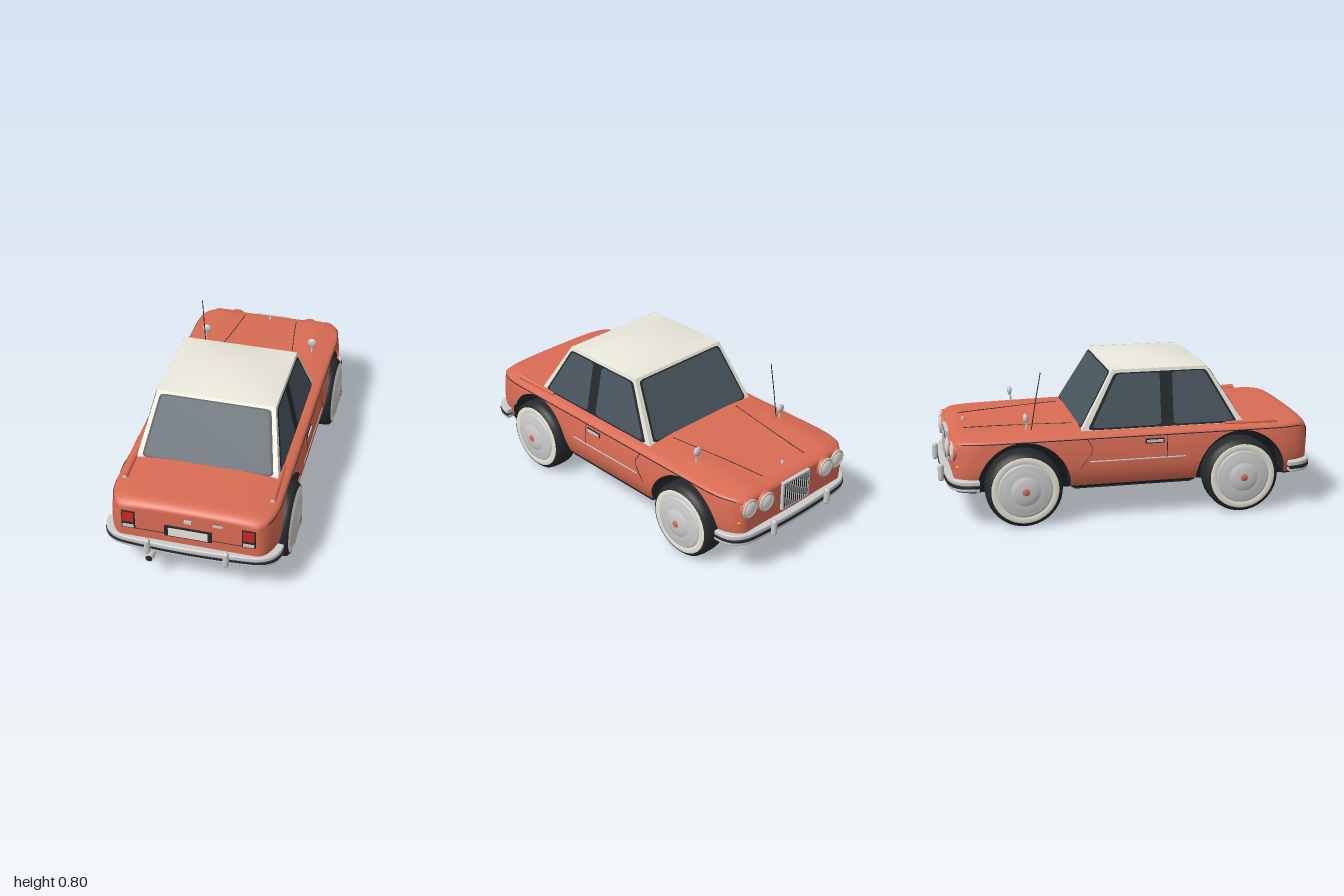
import * as THREE from 'three';

const mat = (color) => new THREE.MeshStandardMaterial({ color, side: THREE.DoubleSide });
const RED = mat(0xd96c54), CREAM = mat(0xe9e6da), GLASS = mat(0x4a565f), DARK = mat(0x25292c);
const BLACK = mat(0x151819), CHROME = mat(0xcccccc), LAMP = mat(0xc42a20), AMBER = mat(0xe08a20);

const END = 0.935, ARCH_R = 0.24, AXLE_Y = 0.197, AXLES = [0.555, -0.587];
const ramp = (v, a, b) => THREE.MathUtils.smoothstep(v, a, b);

// Body rules: half width, sill height, section point
const halfWidth = (z) => 0.34 + 0.095 * Math.sqrt(Math.max(0, 1 - Math.max(0, (Math.abs(z) - 0.7) / (END - 0.7)) ** 2.5));
const archAt = (z) => AXLES.find((c) => Math.abs(z - c) < ARCH_R);
function sill(z) {
  const c = archAt(z);
  return c === undefined ? 0.19 : AXLE_Y + Math.sqrt(ARCH_R ** 2 - (z - c) ** 2);
}
const sideX = (y, z) => halfWidth(z) * (y < 0.3 ? 1 - 0.07 * ((0.3 - y) / 0.11) ** 2 : 1 - 0.03 * ((y - 0.3) / 0.137) ** 2);
const endScale = (z) => {
  const e = Math.min(1, Math.max(0, (Math.abs(z) - 0.86) / (END - 0.86)));
  return 1 - 0.13 * (1 - Math.sqrt(1 - e * e));
};
const topY = (z) => 0.479 - Math.max(0, -z - 0.3) * 0.035;
function sectionPoint(a, z) {
  let x, y;
  const shoulder = 0.437;
  if (a < 0.5) {
    y = THREE.MathUtils.lerp(Math.min(sill(z), 0.436), shoulder, a * 2);
    x = sideX(y, z);
  } else {
    const t = (a - 0.5) * Math.PI;
    x = sideX(shoulder, z) * Math.max(0, Math.cos(t)) ** 0.667;
    y = shoulder + (topY(z) - shoulder) * Math.sin(t) ** 0.667;
    y += 0.014 * Math.exp(-(((x - 0.29) / 0.07) ** 2)) * ramp(-z, 0.35, 0.6) * Math.sin(t);
  }
  return [x, 0.19 + (y - 0.19) * endScale(z), z];
}

function bodyGeometry() {
  const zs = [];
  for (let i = 0; i <= 60; i++) zs.push(END * Math.sin(((i / 30 - 1) * Math.PI) / 2));
  for (const c of AXLES) for (let k = 0; k <= 28; k++) zs.push(c + ARCH_R * Math.cos((k / 28) * Math.PI));
  zs.sort((a, b) => a - b);
  const N = 44, pos = [], idx = [];
  for (const z of zs) for (let j = 0; j <= N; j++) {
    const s = j / N * 2 - 1;
    const p = sectionPoint(1 - Math.abs(s), z);
    pos.push(s < 0 ? p[0] : -p[0], p[1], p[2]);
  }
  const row = N + 1;
  for (let i = 0; i < zs.length - 1; i++) for (let j = 0; j < N; j++) {
    const a = i * row + j, b = a + row;
    idx.push(a, a + 1, b, b, a + 1, b + 1);
  }
  // Flat nose and tail faces
  for (const [i, flip] of [[0, true], [zs.length - 1, false]]) {
    const base = pos.length / 3;
    pos.push(0, 0.3, zs[i]);
    for (let j = 0; j <= N; j++) pos.push(...pos.slice((i * row + j) * 3, (i * row + j) * 3 + 3));
    for (let j = 0; j <= N; j++) {
      const a = base + 1 + j, b = base + 1 + ((j + 1) % row);
      idx.push(base, flip ? b : a, flip ? a : b);
    }
  }
  const g = new THREE.BufferGeometry();
  g.setAttribute('position', new THREE.Float32BufferAttribute(pos, 3));
  g.setIndex(idx);
  g.computeVertexNormals();
  return g;
}

// Polygon with rounded corners
function roundedPoly(pts, r) {
  const P = pts.map((p) => new THREE.Vector2(...p)), s = new THREE.Shape(), n = P.length;
  P.forEach((p, i) => {
    const toward = (q) => p.clone().add(q.clone().sub(p).setLength(r));
    const a = toward(P[(i + n - 1) % n]), b = toward(P[(i + 1) % n]);
    i ? s.lineTo(a.x, a.y) : s.moveTo(a.x, a.y);
    s.quadraticCurveTo(p.x, p.y, b.x, b.y);
  });
  s.closePath();
  return s;
}

export function createModel() {
  const car = new THREE.Group();
  const add = (name, geo, m, x = 0, y = 0, z = 0, parent = car) => {
    const mesh = new THREE.Mesh(geo, m);
    mesh.name = name;
    mesh.position.set(x, y, z);
    parent.add(mesh);
    return mesh;
  };
  const box = (name, m, w, h, d, x, y, z) => add(name, new THREE.BoxGeometry(w, h, d), m, x, y, z);
  const rod = (r1, r2, len, n = 24) => new THREE.CylinderGeometry(r1, r2, len, n).rotateX(Math.PI / 2);
  const line = (name, pts, r, m) => add(name, new THREE.TubeGeometry(
    new THREE.CatmullRomCurve3(pts.map((p) => new THREE.Vector3(...p))), pts.length * 4, r, 5), m);

  add('body', bodyGeometry(), RED);

  // Floor pan, notched at the wheels
  const floorPts = [];
  for (let i = 0; i <= 120; i++) {
    const z = (i / 60 - 1) * 0.92;
    floorPts.push([archAt(z) === undefined ? halfWidth(z) * 0.925 : 0.31, z]);
  }
  const floor = new THREE.Shape([...floorPts, ...floorPts.map(([x, z]) => [-x, z]).reverse()].map((p) => new THREE.Vector2(...p)));
  add('floor', new THREE.ExtrudeGeometry(floor, { depth: 0.02, bevelEnabled: false }).rotateX(Math.PI / 2), BLACK, 0, 0.2, 0);
  box('chassis', BLACK, 0.62, 0.25, 1.66, 0, 0.285, 0);
  box('underTray', BLACK, 0.62, 0.03, 1.66, 0, 0.172, 0);
  box('sillStrip', DARK, 0.79, 0.025, 0.62, 0, 0.183, -0.016);

  // Cabin: four sloped walls, crowned roof and set-on windows
  const bottom = { x: 0.372, y: 0.455, f: -0.288, r: 0.588 }, top = { x: 0.307, y: 0.765, f: -0.107, r: 0.392 };
  const corner = (l, sx, end) => new THREE.Vector3(sx * l.x, l.y, l[end]);
  function wall(name, [s1, e1], [s2, e2], panels) {
    const [bl, br, tl, tr] = [corner(bottom, s1, e1), corner(bottom, s2, e2), corner(top, s1, e1), corner(top, s2, e2)];
    const out = br.clone().sub(bl).cross(tl.clone().sub(bl)).normalize();
    if (out.dot(bl.clone().add(br).setY(0).sub(new THREE.Vector3(0, 0, 0.3))) < 0) out.negate();
    const put = (label, pts, r, m, lift) => {
      const g = new THREE.ShapeGeometry(roundedPoly(pts, r), 6), p = g.attributes.position;
      for (let i = 0; i < p.count; i++) {
        const u = p.getX(i), v = p.getY(i);
        const q = bl.clone().lerp(br, u).lerp(tl.clone().lerp(tr, u), v).addScaledVector(out, lift);
        p.setXYZ(i, q.x, q.y, q.z);
      }
      g.computeVertexNormals();
      add(label, g, m);
    };
    put(name, [[0, 0], [1, 0], [1, 1], [0, 1]], 0.001, CREAM, 0);
    panels.forEach(([label, pts, m], i) => put(label, pts, 0.05, m, 0.003 + 0.003 * Math.min(i, 1)));
  }
  const endPanels = (n) => [
    [n + 'Seal', [[0.035, 0.05], [0.965, 0.05], [0.965, 0.955], [0.035, 0.955]], DARK],
    [n, [[0.05, 0.07], [0.95, 0.07], [0.945, 0.935], [0.055, 0.935]], GLASS]];
  wall('rearWall', [-1, 'r'], [1, 'r'], endPanels('rearWindow'));
  wall('frontWall', [1, 'f'], [-1, 'f'], endPanels('windscreen'));
  for (const s of [-1, 1]) wall('cabinSide', [s, 'r'], [s, 'f'], [
    ['sideWindowFrame', [[0.04, 0.04], [0.965, 0.04], [0.965, 0.945], [0.035, 0.945]], DARK],
    ['quarterWindow', [[0.055, 0.07], [0.44, 0.07], [0.385, 0.925], [0.06, 0.925]], GLASS],
    ['doorWindow', [[0.515, 0.07], [0.945, 0.07], [0.935, 0.925], [0.51, 0.925]], GLASS]]);
  const roof = new THREE.PlaneGeometry(2, 2, 20, 20).rotateX(-Math.PI / 2), rp = roof.attributes.position;
  for (let i = 0; i < rp.count; i++) {
    const u = rp.getX(i), v = rp.getZ(i);
    rp.setXYZ(i, u * 0.309, 0.764 + 0.031 * (1 - u * u) * (1 - v * v), 0.1425 + v * 0.252);
  }
  roof.computeVertexNormals();
  add('roof', roof, CREAM);

  // Wheels: lathed tyre, whitewall and domed hubcap
  const lathe = (pts) => new THREE.LatheGeometry(pts.map((p) => new THREE.Vector2(...p)), 40);
  const parts = [
    ['tyre', lathe([[0, -0.07], [0.14, -0.07], [0.178, -0.066], [0.193, -0.052], [0.197, -0.03], [0.197, 0.03], [0.193, 0.054], [0.178, 0.068], [0.165, 0.07], [0, 0.06]]), DARK],
    ['whitewall', lathe([[0.135, 0.066], [0.142, 0.072], [0.162, 0.073], [0.173, 0.069]]), CREAM],
    ['rim', lathe([[0.142, 0.069], [0.134, 0.078], [0.124, 0.076], [0.116, 0.08], [0.08, 0.086], [0.076, 0.082], [0.072, 0.088], [0.045, 0.095], [0, 0.098]]), CHROME],
    ['hubCentre', lathe([[0.02, 0.094], [0.018, 0.1], [0, 0.102]]), RED]];
  for (const z of AXLES) for (const s of [-1, 1]) {
    const wheel = new THREE.Group();
    wheel.name = 'wheel';
    wheel.position.set(s * 0.388, AXLE_Y, z);
    wheel.rotation.z = -s * Math.PI / 2;
    parts.forEach(([n, g, m]) => add(n, g, m, 0, 0, 0, wheel));
    car.add(wheel);
    const liner = new THREE.CylinderGeometry(ARCH_R, ARCH_R, 0.11, 32, 1, true, 0, Math.PI).rotateZ(Math.PI / 2);
    add('wheelArchLiner', liner, DARK, s * 0.363, AXLE_Y, z);
  }

  // Bumpers with dark rubber strip and overriders
  for (const [name, reach, w, turn] of [['rearBumper', 0.975, 0.455, 0], ['frontBumper', 0.985, 0.442, Math.PI]]) {
    const bumper = new THREE.Group();
    bumper.name = name;
    bumper.rotation.y = turn;
    const strip = (label, grow, y, h, m) => {
      const W = w + grow - 0.008, Z = reach + grow - 0.008, t = 0.025, s = new THREE.Shape();
      s.moveTo(W, 0.82).quadraticCurveTo(W, Z - 0.035, W - 0.12, Z - 0.02).quadraticCurveTo(0, Z + 0.01, 0.12 - W, Z - 0.02);
      s.quadraticCurveTo(-W, Z - 0.035, -W, 0.82).lineTo(t - W, 0.82);
      s.quadraticCurveTo(t - W, Z - 0.07, 0.13 - W, Z - 0.05).quadraticCurveTo(0, Z - 0.02, W - 0.13, Z - 0.05);
      s.quadraticCurveTo(W - t, Z - 0.07, W - t, 0.82);
      const g = new THREE.ExtrudeGeometry(s, { depth: h - 0.014, bevelSize: 0.007, bevelThickness: 0.007, bevelSegments: 3, curveSegments: 16 });
      add(label, g.rotateX(Math.PI / 2), m, 0, y + h / 2 - 0.007, 0, bumper);
    };
    strip('chromeBar', 0, 0.228, 0.058, CHROME);
    strip('rubberStrip', 0.003, 0.226, 0.022, DARK);
    for (const s of [-1, 1]) add('overrider', new THREE.CapsuleGeometry(0.016, 0.062, 6, 12), CHROME, s * 0.2, 0.243, reach + 0.003, bumper);
    car.add(bumper);
  }

  // Tail: lamps, plate, handle, badge bar, exhaust
  for (const s of [-1, 1]) {
    box('tailLampFrame', DARK, 0.068, 0.105, 0.02, s * 0.305, 0.362, 0.93);
    box('tailLamp', LAMP, 0.056, 0.058, 0.02, s * 0.305, 0.38, 0.934);
    box('reverseLamp', CHROME, 0.056, 0.018, 0.02, s * 0.305, 0.325, 0.934);
  }
  box('plateHolder', DARK, 0.24, 0.062, 0.015, 0, 0.333, 0.936);
  box('plate', CREAM, 0.2, 0.048, 0.016, 0, 0.332, 0.938);
  box('bootHandle', CHROME, 0.036, 0.016, 0.02, 0, 0.408, 0.935);
  box('bootTrim', CHROME, 0.05, 0.012, 0.012, 0.15, 0.408, 0.933);
  add('exhaust', rod(0.022, 0.022, 0.085), CHROME, -0.2, 0.143, 0.918);
  add('exhaustBore', rod(0.017, 0.017, 0.086), DARK, -0.2, 0.143, 0.919);
  line('bootSeam', [[-0.33, 0.31, 0.936], [0, 0.31, 0.936], [0.33, 0.31, 0.936]], 0.002, DARK);

  // Nose: grille, bonnet ornament
  box('grilleFrame', CHROME, 0.2, 0.155, 0.025, 0, 0.355, -0.938);
  box('grilleMesh', DARK, 0.176, 0.132, 0.026, 0, 0.355, -0.94);
  for (let i = -5; i <= 5; i++) box('grilleBar', CHROME, 0.005, 0.132, 0.012, i * 0.016, 0.355, -0.95);
  add('bonnetOrnament', new THREE.SphereGeometry(0.01, 12, 8).scale(0.8, 1.6, 0.8), CHROME, 0, 0.468, -0.85);

  for (const s of [-1, 1]) {
    // Twin headlamps in fender pods
    for (const [x, z] of [[0.222, -0.93], [0.325, -0.915]]) {
      add('headlampPod', new THREE.SphereGeometry(0.056, 24, 16).scale(1, 1, 2), RED, s * x, 0.388, z + 0.08);
      add('headlampShell', rod(0.055, 0.052, 0.06), RED, s * x, 0.388, z + 0.01);
      add('headlampRing', new THREE.TorusGeometry(0.044, 0.008, 8, 28), CHROME, s * x, 0.388, z - 0.021);
      add('headlampLens', new THREE.SphereGeometry(0.042, 20, 12).scale(1, 1, 0.35), CREAM, s * x, 0.388, z - 0.02);
    }
    add('indicator', new THREE.SphereGeometry(0.014, 12, 8), AMBER, s * 0.372, 0.315, -0.912);
    // Fender mirrors
    add('mirrorStem', new THREE.CylinderGeometry(0.005, 0.006, 0.07, 8), CHROME, s * 0.31, 0.495, -0.555);
    add('mirrorHead', new THREE.SphereGeometry(0.025, 16, 12).scale(1, 1, 0.5), CHROME, s * 0.308, 0.535, -0.56);
    // Tail fins with chrome tips
    add('tailFin', rod(0.018, 0.008, 0.28, 16), RED, s * 0.378, 0.468, 0.615);
    add('finTip', rod(0.012, 0.012, 0.01, 16), CHROME, s * 0.378, 0.468, 0.754);
    // Side trim, seams and handles
    const along = (y, z0, z1, n) => Array.from({ length: n + 1 }, (_, i) => {
      const z = z0 + ((z1 - z0) * i) / n;
      return [s * sideX(y, z), 0.19 + (y - 0.19) * endScale(z), z];
    });
    line('waistLine', along(0.437, 0.925, -0.925, 40), 0.0025, DARK);
    line('sideTrim', along(0.32, 0.25, -0.25, 4), 0.004, CHROME);
    const seam = (pts) => line('doorSeam', pts.map(([y, z]) => [s * sideX(y, z), y, z]), 0.002, DARK);
    seam([[0.435, 0.155], [0.33, 0.155], [0.2, 0.155]]);
    seam([[0.435, -0.26], [0.38, -0.235], [0.3, -0.29], [0.2, -0.325]]);
    box('doorHandleRecess', DARK, 0.01, 0.026, 0.1, s * 0.424, 0.41, 0.09);
    box('doorHandle', CHROME, 0.014, 0.013, 0.085, s * 0.428, 0.41, 0.09);
    line('bonnetSeam', [[0.235, -0.31], [0.205, -0.5], [0.175, -0.7], [0.155, -0.86]].map(([x, z]) => [s * x, topY(z) - 0.002 + 0.005 * ramp(-z, 0.35, 0.6), z]), 0.002, DARK);
  }
  line('aerial', [[-0.31, 0.46, -0.533], [-0.31, 0.615, -0.508], [-0.31, 0.768, -0.48]], 0.0025, DARK);
  return car;
}
